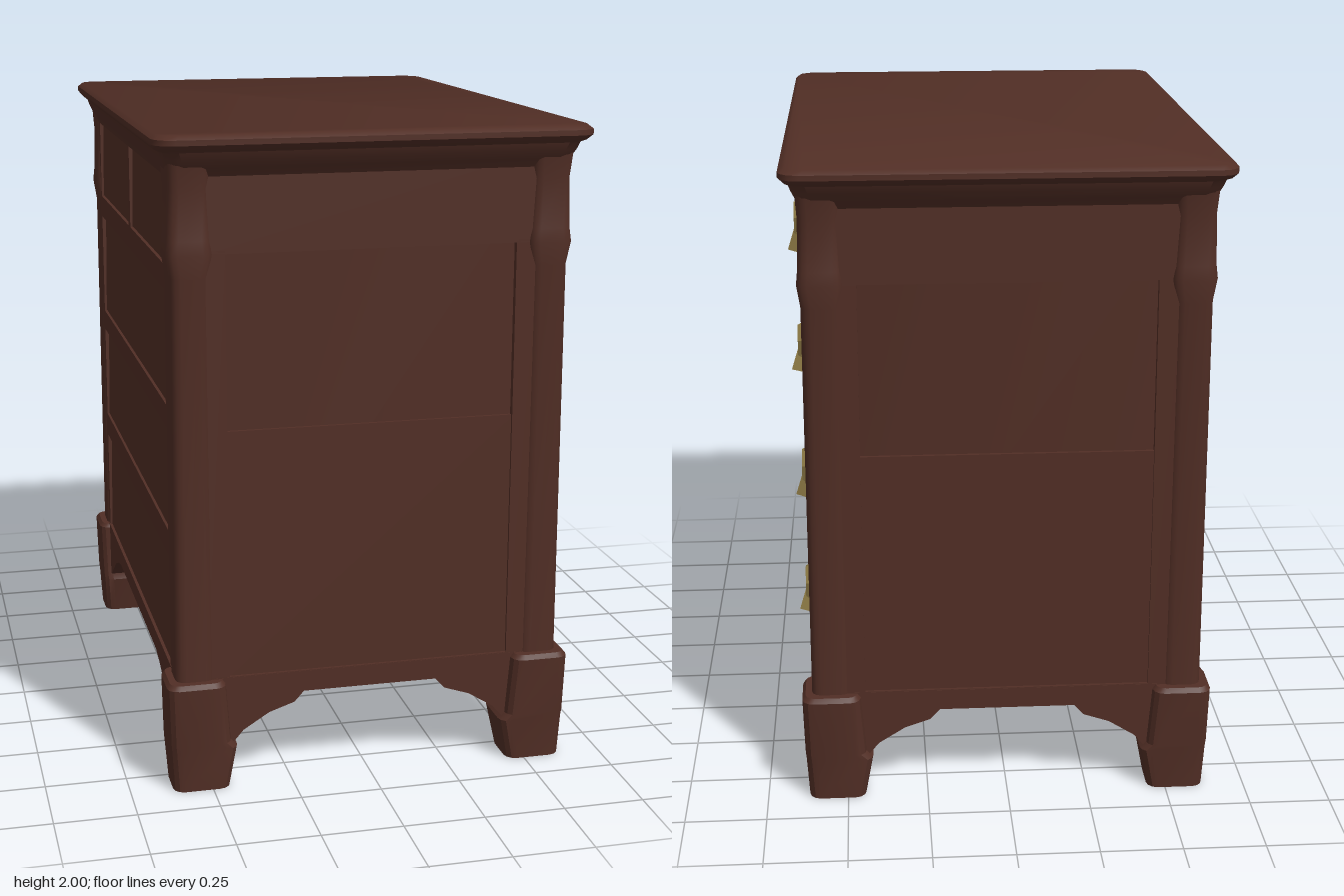
import * as THREE from 'three';
import { toCreasedNormals } from 'three/addons/utils/BufferGeometryUtils.js';

const wood = new THREE.MeshStandardMaterial({ color: 0x512e25 });
wood.name = 'mahogany';
const brass = new THREE.MeshStandardMaterial({ color: 0x8f7b45 });
brass.name = 'agedBrass';

// Solid from stacked rounded rectangles: rows of [y, halfX, halfZ, cornerRadius, offsetX, offsetZ]
function loft(rows, crease = 0.7, seg = 3) {
  const pos = [], idx = [], n = 4 * (seg + 1);
  for (const [y, hx, hz, r, ox = 0, oz = 0] of rows) {
    for (let c = 0; c < 4; c++) {
      const sx = c === 0 || c === 3 ? 1 : -1, sz = c < 2 ? 1 : -1;
      for (let k = 0; k <= seg; k++) {
        const a = (c + k / seg) * Math.PI / 2;
        pos.push(ox + sx * (hx - r) + r * Math.cos(a), y, oz + sz * (hz - r) + r * Math.sin(a));
      }
    }
  }
  const last = rows.length - 1;
  for (let i = 0; i < last; i++) {
    for (let j = 0; j < n; j++) {
      const a = i * n + j, b = i * n + (j + 1) % n;
      idx.push(a, a + n, b, b, a + n, b + n);
    }
  }
  for (let j = 1; j < n - 1; j++) {
    idx.push(0, j, j + 1, last * n, last * n + j + 1, last * n + j);
  }
  const g = new THREE.BufferGeometry();
  g.setAttribute('position', new THREE.Float32BufferAttribute(pos, 3));
  g.setIndex(idx);
  return toCreasedNormals(g, crease);
}

export function createModel() {
  const model = new THREE.Group();
  model.name = 'chestOfDrawers';

  const add = (name, geo, mat = wood, parent = model) => {
    const m = new THREE.Mesh(geo, mat);
    m.name = name;
    parent.add(m);
    return m;
  };
  const box = (name, x0, x1, y0, y1, z0, z1) =>
    add(name, new THREE.BoxGeometry(x1 - x0, y1 - y0, Math.abs(z1 - z0)))
      .position.set((x0 + x1) / 2, (y0 + y1) / 2, (z0 + z1) / 2);

  // Carcass and moulded top
  add('carcass', loft([[0.29, 0.586, 0.838, 0.03], [1.93, 0.586, 0.838, 0.03]]));
  add('top', loft([
    [1.87, 0.6, 0.855, 0.05], [1.9, 0.61, 0.875, 0.05], [1.925, 0.62, 0.895, 0.05],
    [1.948, 0.628, 0.905, 0.05], [1.955, 0.642, 0.925, 0.06], [1.972, 0.655, 0.945, 0.06],
    [1.988, 0.655, 0.945, 0.06], [2, 0.642, 0.93, 0.06]], 0.8));

  // Corner posts and bracket feet
  for (const sx of [-1, 1]) {
    for (const sz of [-1, 1]) {
      const px = sx * 0.545, pz = sz * 0.8;
      add('cornerPost', loft([
        [0.3, 0.06, 0.066, 0.03], [1.58, 0.058, 0.064, 0.03], [1.65, 0.068, 0.076, 0.03],
        [1.69, 0.064, 0.07, 0.03], [1.84, 0.06, 0.066, 0.03], [1.94, 0.066, 0.085, 0.03]], 0.9))
        .position.set(px, 0, pz);
      add('foot', loft([
        [0, 0.088, 0.078, 0.035, sx * 0.532, sz * 0.808], [0.13, 0.104, 0.092, 0.035, sx * 0.524, sz * 0.798],
        [0.15, 0.095, 0.09, 0.035, sx * 0.535, sz * 0.803], [0.335, 0.09, 0.09, 0.035, sx * 0.545, sz * 0.81],
        [0.348, 0.08, 0.08, 0.03, sx * 0.545, sz * 0.808]], 0.5));
    }
  }

  // Scalloped aprons: half outline of the lower edge, mirrored
  const apron = (edge, halfWidth) => {
    const pts = [[-halfWidth, 0.35], ...edge.map(([x, y]) => [-x, y]),
      ...[...edge].reverse(), [halfWidth, 0.35]];
    const shape = new THREE.Shape(pts.map(([x, y]) => new THREE.Vector2(x, y)));
    const g = new THREE.ExtrudeGeometry(shape, { depth: 0.07, bevelEnabled: false });
    return g.translate(0, 0, -0.035);
  };
  const endApron = apron([[0.5, 0.13], [0.43, 0.14], [0.4, 0.175], [0.32, 0.225], [0.24, 0.252], [0.21, 0.285]], 0.55);
  const longApron = apron([[0.8, 0.13], [0.69, 0.16], [0.64, 0.195], [0.56, 0.245], [0.49, 0.272], [0.42, 0.288]], 0.82)
    .rotateY(Math.PI / 2);
  for (const s of [-1, 1]) {
    add('endApron', endApron).position.z = s * 0.824;
    add('longApron', longApron).position.x = s * 0.566;
  }

  // Framed end panels: rails, stiles and a proud lower panel
  for (const s of [-1, 1]) {
    const z0 = s * 0.82, z1 = s * 0.858;
    box('endTopRail', -0.5, 0.5, 1.65, 1.92, z0, z1);
    box('endLowerPanel', -0.45, 0.45, 0.34, 1.12, z0, s * 0.849);
    box('endBottomRail', -0.5, 0.5, 0.3, 0.352, z0, z1);
    for (const t of [-1, 1]) box('endStile', t * 0.475 - 0.035, t * 0.475 + 0.035, 0.34, 1.66, z0, z1);
  }

  // Drawer rails and stiles on the drawer side, repeated on the plain opposite side
  const rails = [[0.3, 0.35], [0.705, 0.785], [1.11, 1.18], [1.53, 1.605], [1.895, 1.94]];
  const drawers = [[0.355, 0.7], [0.79, 1.105], [1.185, 1.525]];
  for (const s of [-1, 1]) {
    const xa = Math.min(s * 0.57, s * 0.599), xb = Math.max(s * 0.57, s * 0.599);
    for (const [y0, y1] of rails) box('drawerRail', xa, xb, y0, y1, -0.75, 0.75);
    for (const t of [-1, 1]) box('drawerStile', xa, xb, 0.3, 1.94, t * 0.715, t * 0.765);
    box('drawerDivider', xa, xb, 1.6, 1.9, -0.012, 0.028);
    const front = (y0, y1, z0, z1) => {
      const h = (y1 - y0) / 2, w = (z1 - z0) / 2;
      // Face slopes gently back from its upper edge
      const g = new THREE.BoxGeometry(0.02, 2 * h, 2 * w);
      const p = g.attributes.position;
      for (let i = 0; i < p.count; i++) if (p.getX(i) * s > 0 && p.getY(i) > 0) p.setX(i, s * 0.004);
      g.computeVertexNormals();
      add('drawerFront', g).position.set(s * 0.583, y0 + h, z0 + w);
    };
    for (const [y0, y1] of drawers) front(y0, y1, -0.705, 0.705);
    front(1.61, 1.89, -0.705, -0.018);
    front(1.61, 1.89, 0.034, 0.705);
  }

  // Brass pulls: pointed backplate with a faceted drop
  const plate = new THREE.ExtrudeGeometry(new THREE.Shape([
    [-0.05, -0.025], [0.05, -0.025], [0.056, 0.03], [0.015, 0.078], [-0.03, 0.065], [-0.056, 0.025],
  ].map(([x, y]) => new THREE.Vector2(x, y))),
  { depth: 0.02, bevelEnabled: true, bevelSegments: 1, bevelThickness: 0.012, bevelSize: 0.006, bevelOffset: -0.006 })
    .rotateY(Math.PI / 2);
  const drop = new THREE.CylinderGeometry(0.028, 0.048, 0.075, 5, 1).toNonIndexed().scale(0.6, 1, 1);
  drop.computeVertexNormals();
  [0.525, 0.93, 1.345, 1.735].forEach((y, i) => {
    for (const s of [-1, 1]) {
      const pull = new THREE.Group();
      pull.name = 'drawerPull';
      add('pullPlate', plate, brass, pull);
      const d = add('pullDrop', drop, brass, pull);
      d.position.set(0.018, -0.038, 0);
      d.rotation.set(0.12 * s * (i % 2 ? 1 : -1), 0.4 * s, 0.15);
      pull.position.set(0.596, y, s * 0.424);
      model.add(pull);
    }
  });

  return model;
}
